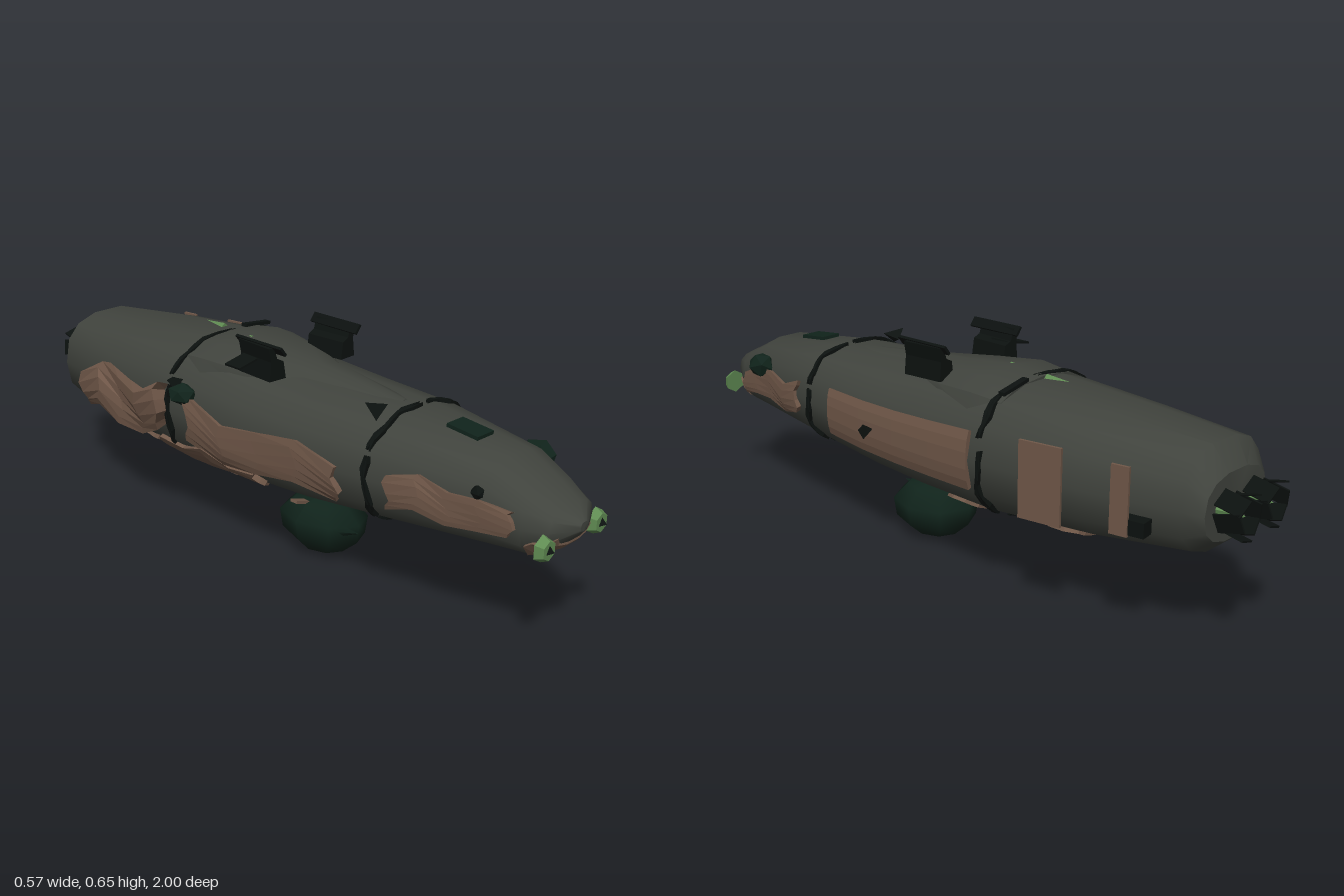
import * as THREE from 'three';
import { toCreasedNormals } from 'three/addons/utils/BufferGeometryUtils.js';

const mat = (color, flatShading = false) =>
  new THREE.MeshStandardMaterial({ color, flatShading, side: THREE.DoubleSide });

// stations from nose to tail: z, centre x, half width, bottom y, top y
const HULL = [
  [1.0, -0.02, 0.015, 0.375, 0.40], [0.95, 0.0, 0.09, 0.32, 0.425], [0.88, 0.01, 0.12, 0.275, 0.455],
  [0.78, 0.01, 0.14, 0.265, 0.505], [0.46, 0.01, 0.2, 0.24, 0.537], [0.2, 0.01, 0.225, 0.215, 0.543],
  [0.0, 0.012, 0.237, 0.205, 0.552], [-0.27, 0.015, 0.247, 0.2, 0.576], [-0.6, 0.01, 0.218, 0.22, 0.553],
  [-0.86, -0.005, 0.175, 0.242, 0.53], [-0.915, 0.015, 0.135, 0.29, 0.47],
];
const CANOPY = [
  [0.4, 0.02, 0.04, 0.42, 0.538], [0.1, 0.015, 0.1, 0.41, 0.566], [-0.05, 0.015, 0.17, 0.4, 0.578],
  [-0.2, 0.015, 0.2, 0.4, 0.591], [-0.3, 0.015, 0.19, 0.4, 0.578],
];

const soft = (v) => Math.sign(v) * Math.abs(v) ** 0.8;
// rounded-square cross-section point
function ringPoint([z, cx, w, y0, y1], a, off = 0) {
  return [cx + (w + off) * soft(Math.cos(a)), (y0 + y1) / 2 + ((y1 - y0) / 2 + off) * soft(Math.sin(a)), z];
}
// point on the hull at any z, raised by off
function hullPoint(z, a, off) {
  let i = 0;
  while (i < HULL.length - 2 && HULL[i + 1][0] > z) i++;
  const t = (HULL[i][0] - z) / (HULL[i][0] - HULL[i + 1][0]);
  return ringPoint(HULL[i].map((v, k) => v + (HULL[i + 1][k] - v) * t), a, off);
}

function buildGeometry(pos, idx) {
  const g = new THREE.BufferGeometry();
  g.setAttribute('position', new THREE.Float32BufferAttribute(pos, 3));
  g.setIndex(idx);
  g.computeVertexNormals();
  return g;
}

// closed skin over a list of stations
function loft(stations, n) {
  const pos = [], idx = [], last = stations.length - 1;
  for (const s of stations) for (let j = 0; j < n; j++) pos.push(...ringPoint(s, (j / n) * Math.PI * 2));
  for (let i = 0; i < last; i++) for (let j = 0; j < n; j++) {
    const k = (j + 1) % n, a = i * n + j, b = i * n + k;
    idx.push(a, a + n, b, b, a + n, b + n);
  }
  const c = (last + 1) * n;
  for (const s of [stations[0], stations[last]]) pos.push(s[1], (s[3] + s[4]) / 2, s[0]);
  for (let j = 0; j < n; j++) {
    const k = (j + 1) % n;
    idx.push(c, j, k, c + 1, last * n + k, last * n + j);
  }
  return toCreasedNormals(buildGeometry(pos, idx), 0.7);
}

// raised plate wrapped on the hull; wave makes its edges ragged
function hullPlate(z0, z1, a0, a1, off, wave = 0) {
  const rows = 6, cols = 7, pos = [], idx = [];
  for (let i = 0; i <= rows; i++) for (let j = 0; j <= cols; j++) {
    const rim = i === 0 || j === 0 || i === rows || j === cols;
    const u = THREE.MathUtils.clamp((i - 1) / (rows - 2), 0, 1);
    const v = THREE.MathUtils.clamp((j - 1) / (cols - 2), 0, 1);
    const a = a0 + (a1 - a0) * v + wave * Math.sin(u * 9 + z0 * 5);
    const z = z0 + (z1 - z0) * u + wave * 0.1 * Math.sin(v * 23);
    pos.push(...hullPoint(z, a, rim ? -0.012 : off * (1 + wave * 2 * Math.sin(u * 7 + v * 4))));
  }
  for (let i = 0; i < rows; i++) for (let j = 0; j < cols; j++) {
    const a = i * (cols + 1) + j, b = a + cols + 1;
    idx.push(a, b, a + 1, a + 1, b, b + 1);
  }
  return buildGeometry(pos, idx);
}

export function createModel() {
  const root = new THREE.Group();
  const hullMat = mat(0x40433d), rust = mat(0x6f5748, true), dark = mat(0x0c110f, true);
  const glass = mat(0x10231b, true), pod = mat(0x10231b), green = mat(0x5f8a52, true);
  const add = (name, geo, material, p = [0, 0, 0], r = [0, 0, 0], s = [1, 1, 1]) => {
    const m = new THREE.Mesh(geo, material);
    m.name = name;
    m.position.set(...p);
    m.rotation.set(...r);
    m.scale.set(...s);
    root.add(m);
  };
  const box = (name, material, size, p, r) => add(name, new THREE.BoxGeometry(...size), material, p, r);

  add('hull', loft(HULL, 14), hullMat);
  add('canopyRidge', loft(CANOPY, 12), hullMat);

  // broken straps around the hull
  for (const [z, gap] of [[0.462, 0.2], [-0.278, 0.28]])
    for (let k = 0; k < 5; k++) {
      const a = 0.35 + k * Math.PI * 0.4;
      add('hullStrap', hullPlate(z, z - 0.014, a, a + Math.PI * 0.4 - gap, 0.007, 0.07), dark);
    }

  // large armour panel on the left flank
  add('leftPanel', hullPlate(0.35, -0.25, -0.36, 0.36, 0.007), rust);
  add('panelStud', new THREE.ConeGeometry(0.022, 0.035, 4), dark, [0.275, 0.39, 0.12], [0, 0, Math.PI / 2]);
  // torn plating along the right flank and belly
  add('rightPanel', hullPlate(0.36, -0.2, 2.98, 3.55, 0.01, 0.12), rust);
  add('rightRearPanel', hullPlate(-0.3, -0.7, 2.95, 3.5, 0.036, 0.14), rust);
  add('bellyPlateFront', hullPlate(-0.08, -0.21, 4.1, 5.3, 0.01, 0.05), rust);
  add('bellyPlateRear', hullPlate(-0.42, -0.55, 4.0, 5.2, 0.01, 0.06), rust);
  add('bellyPlateMiddle', hullPlate(0.05, -0.35, 3.6, 4.1, 0.01, 0.12), rust);

  // standing plates at the left rear
  box('rearPlate', rust, [0.008, 0.21, 0.125], [0.267, 0.393, -0.505], [0, 0.14, 0]);
  box('rearPlateSmall', rust, [0.008, 0.18, 0.05], [0.237, 0.4, -0.73], [0, 0.14, 0]);
  box('plateBracket', dark, [0.04, 0.04, 0.07], [0.212, 0.335, -0.76], [0, 0.14, 0]);

  // nose: chin, cheeks and lamps
  add('chinPlate', hullPlate(0.965, 0.89, 3.5, 5.9, 0.006, 0.04), rust);
  for (const side of [1, -1]) {
    const mid = side > 0 ? -0.05 : Math.PI + 0.05;
    add('cheekPlate', hullPlate(0.86, 0.52, mid - 0.26, mid + 0.26, 0.01, 0.1), rust);
    const x = 0.01 + side * 0.11;
    add('lampHousing', new THREE.CylinderGeometry(0.026, 0.037, 0.022, 6), green, [x, 0.336, 0.95], [Math.PI / 2, 0, 0]);
    add('lampLens', new THREE.ConeGeometry(0.019, 0.02, 3), dark, [x, 0.336, 0.966], [Math.PI / 2, Math.PI, 0]);
  }

  // sensors and hatches
  add('noseSensor', new THREE.IcosahedronGeometry(0.045, 0), glass, [0.165, 0.44, 0.735], [0.3, 0.2, 0], [0.75, 0.9, 1.1]);
  add('noseSensorSmall', new THREE.IcosahedronGeometry(0.022, 0), dark, [-0.118, 0.43, 0.76]);
  box('noseHatch', glass, [0.065, 0.01, 0.1], [0.005, 0.524, 0.63], [0.1, 0, 0]);
  add('flankSensor', new THREE.IcosahedronGeometry(0.04, 0), glass, [-0.228, 0.455, -0.22], [0, 0.4, 0.5], [0.9, 0.8, 1.2]);
  add('flankShard', new THREE.TetrahedronGeometry(0.05), dark, [-0.21, 0.475, -0.255], [0.5, 0.4, 0.2], [1, 0.6, 1]);
  add('shoulderSensor', new THREE.TetrahedronGeometry(0.04), dark, [-0.1, 0.545, 0.4], [0.4, 0.3, 0], [1, 0.7, 1]);
  box('strapClasp', dark, [0.11, 0.01, 0.02], [0.13, 0.572, -0.295], [0, 0.1, -0.14]);
  for (const [x, z] of [[0.025, -0.36], [0.0, -0.21]])
    add('topMarker', new THREE.ConeGeometry(0.014, 0.08, 3), green, [x, 0.583, z], [-Math.PI / 2, 0, 0], [1, 1, 0.5]);

  // roof fins: slanted walls under a thin flared cap
  for (const side of [1, -1]) {
    const fin = new THREE.Shape();
    [[-0.03, 0], [0.028, 0], [0.022, 0.055], [0.03, 0.095], [0.012, 0.095], [0, 0.06], [-0.022, 0.05]]
      .forEach(([x, y], i) => (i ? fin.lineTo(x * side, y) : fin.moveTo(x * side, y)));
    const g = new THREE.ExtrudeGeometry(fin, { depth: 0.13, bevelEnabled: false });
    add('roofFin', g, dark, [0.01 + side * 0.132, 0.545, -0.06], [0, side * 0.06, 0]);
    box('finCap', dark, [0.03, 0.008, 0.18], [0.01 + side * 0.147, 0.634, 0.012], [0, 0, side * 0.9]);
  }
  box('finFlare', dark, [0.1, 0.006, 0.06], [-0.165, 0.592, -0.02], [0, 0, 0.2]);

  // lumpy pod beneath the belly
  const podGeo = new THREE.SphereGeometry(1, 8, 5);
  const p = podGeo.attributes.position;
  for (let i = 0; i < p.count; i++) {
    const x = p.getX(i), y = p.getY(i), z = p.getZ(i);
    p.setXYZ(i, x * (1 + 0.12 * y), y - 0.1 * x * (1 - y * y), z * (1 + 0.1 * y));
  }
  podGeo.computeVertexNormals();
  add('bellyPod', podGeo, pod, [0.01, 0.09, 0.115], [0, 0, 0], [0.118, 0.09, 0.142]);
  add('podSpike', new THREE.ConeGeometry(0.018, 0.07, 4), pod, [-0.03, 0.115, 0.255], [1.4, 0, 0]);
  box('podStrut', rust, [0.06, 0.008, 0.025], [-0.07, 0.172, 0.1], [0, 0, -0.32]);

  // twin nozzles: jagged petals around a green core
  for (const side of [1, -1]) {
    const x = 0.013 + side * 0.062;
    for (let k = 0; k < 6; k++) {
      const a = (k / 6) * Math.PI * 2 + 0.3;
      box('nozzlePetal', dark, [0.05, 0.005, 0.074], [x + 0.042 * Math.sin(a), 0.38 - 0.05 * Math.cos(a), -0.96],
        [k % 2 ? 0.25 : -0.2, 0, a]);
    }
    add('nozzleCore', new THREE.ConeGeometry(0.036, 0.07, 5), green, [x, 0.38, -0.945], [-Math.PI / 2, 0, 0]);
  }
  return root;
}
